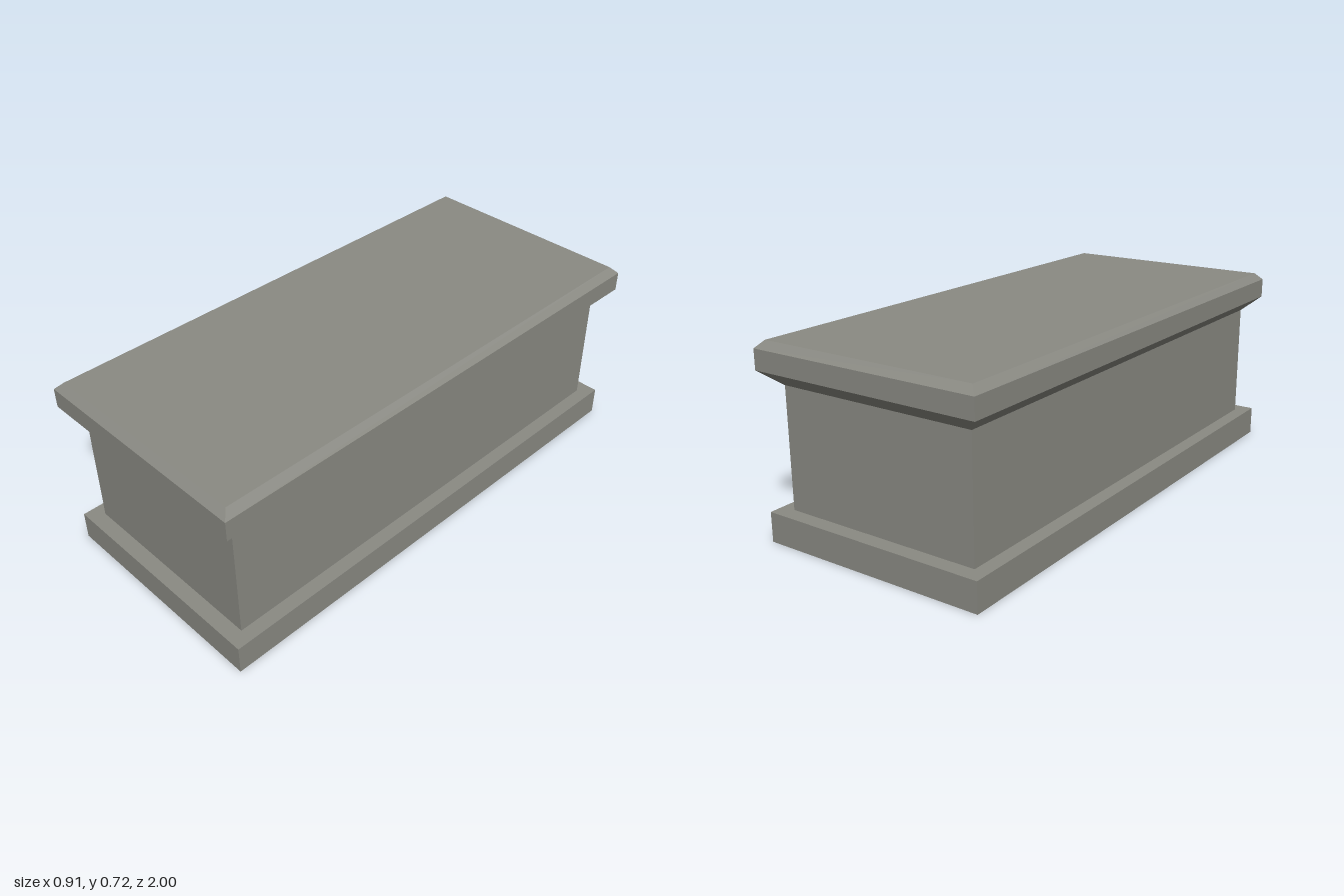
import * as THREE from 'three';

// Stack of rectangular rings [halfX, y, halfZ] from bottom to top, capped at both ends
function rectLoft(rings) {
  const pos = [];
  const corners = ([x, y, z]) => [[-x, y, z], [x, y, z], [x, y, -z], [-x, y, -z]];
  const quad = (a, b, c, d) => pos.push(...a, ...b, ...c, ...a, ...c, ...d);
  const loops = rings.map(corners);
  for (let r = 0; r < loops.length - 1; r++) {
    const lo = loops[r], hi = loops[r + 1];
    for (let i = 0; i < 4; i++) {
      const j = (i + 1) % 4;
      quad(lo[i], lo[j], hi[j], hi[i]);
    }
  }
  const [a, b, c, d] = loops[0];
  quad(d, c, b, a);
  quad(...loops[loops.length - 1]);
  const geometry = new THREE.BufferGeometry();
  geometry.setAttribute('position', new THREE.Float32BufferAttribute(pos, 3));
  geometry.computeVertexNormals();
  return geometry;
}

export function createModel() {
  const model = new THREE.Group();
  model.name = 'stoneChest';
  const stone = new THREE.MeshStandardMaterial({ color: 0x8a8a83 });
  stone.name = 'greyStone';

  const add = (name, rings) => {
    const mesh = new THREE.Mesh(rectLoft(rings), stone);
    mesh.name = name;
    model.add(mesh);
  };

  // Plinth slab
  add('base', [[0.447, 0, 0.993], [0.447, 0.112, 0.993]]);
  // Straight-sided block
  add('body', [[0.393, 0.112, 0.935], [0.393, 0.562, 0.935]]);
  // Lid with flared underside and bevelled top edge
  add('lid', [
    [0.393, 0.562, 0.935],
    [0.457, 0.618, 1],
    [0.457, 0.693, 1],
    [0.43, 0.72, 0.973],
  ]);
  return model;
}
